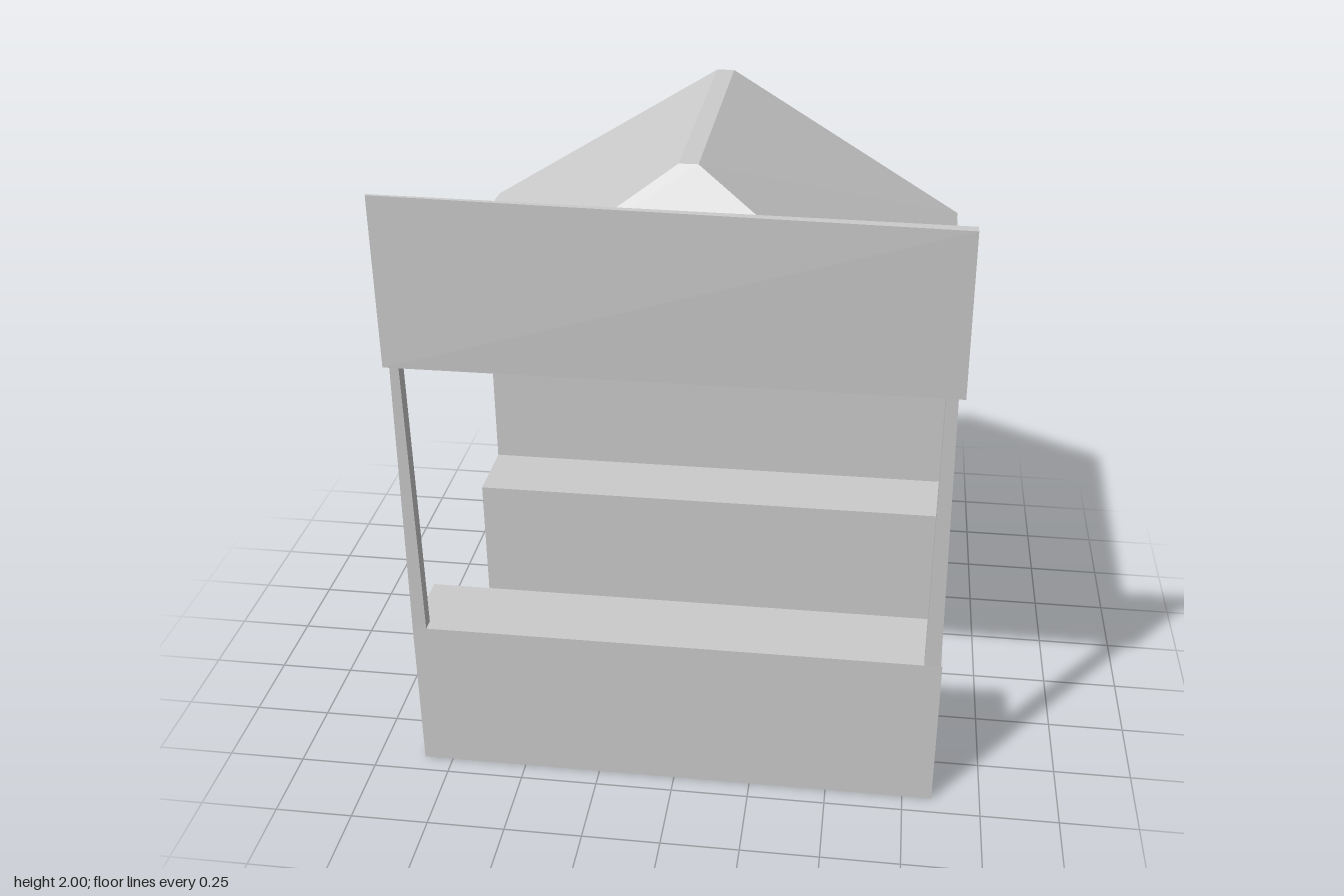
import * as THREE from 'three';

const material = new THREE.MeshStandardMaterial({ color: 0xcccccc, flatShading: true });

// Solid between two four-cornered rings, counter-clockwise seen from ring b
function loft(a, b) {
  const tris = [];
  const quad = (p, q, r, s) => tris.push(...p, ...q, ...r, ...p, ...r, ...s);
  quad(...b);
  quad(a[3], a[2], a[1], a[0]);
  for (let i = 0; i < 4; i++) {
    const j = (i + 1) % 4;
    quad(a[i], a[j], b[j], b[i]);
  }
  const g = new THREE.BufferGeometry();
  g.setAttribute('position', new THREE.Float32BufferAttribute(tris, 3));
  g.computeVertexNormals();
  return g;
}

// Level rectangle used as a ring for upright parts
const ring = (y, x0, x1, z0, z1) => [[x0, y, z1], [x1, y, z1], [x1, y, z0], [x0, y, z0]];

// Box given by its extents
const block = (y0, y1, z0, z1) =>
  new THREE.BoxGeometry(1.69, y1 - y0, z1 - z0).translate(0, (y0 + y1) / 2, (z0 + z1) / 2);

export function createModel() {
  const group = new THREE.Group();
  const add = (name, geometry) => {
    const mesh = new THREE.Mesh(geometry, material);
    mesh.name = name;
    group.add(mesh);
  };

  // Counter, rear bench and back wall
  add('frontCounter', block(0, 0.525, 0.43, 0.685));
  add('rearBench', block(0, 0.525, -0.48, -0.225));
  add('backWall', block(0, 1.495, -0.74, -0.48));

  // Roof: gable at the back, sloping hip at the front
  add('roof', loft(
    [[-0.845, 1.495, -0.74], [0.845, 1.495, -0.74], [0.03, 1.99, -0.74], [-0.03, 1.99, -0.74]],
    [[-0.825, 1.47, 0.712], [0.84, 1.47, 0.705], [0.03, 1.975, 0.265], [-0.03, 1.975, 0.265]]
  ));

  // Slightly leaning posts
  add('rightPost', loft(ring(0.525, -0.845, -0.8, 0.643, 0.685), ring(1.47, -0.828, -0.8, 0.665, 0.71)));
  add('leftPost', loft(ring(0.525, 0.79, 0.84, 0.643, 0.685), ring(1.47, 0.79, 0.825, 0.665, 0.71)));

  // Sign board, a little thicker at its upper left corner
  add('signBoard', loft(
    ring(1.47, -0.845, 0.845, 0.71, 0.72),
    [[-0.845, 2, 0.722], [0.84, 1.98, 0.74], [0.84, 1.98, 0.705], [-0.845, 2, 0.712]]
  ));

  return group;
}
